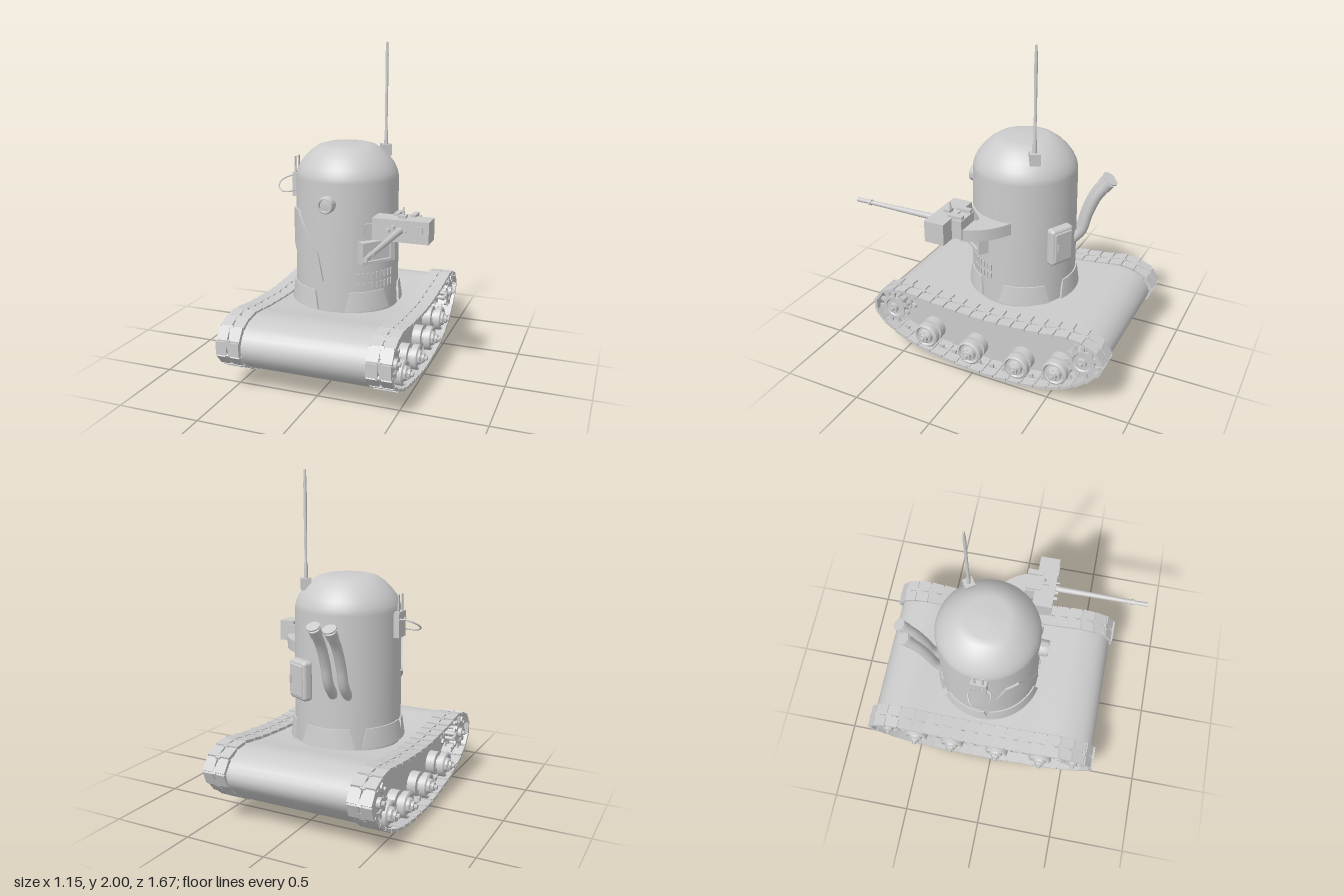
import * as THREE from 'three';
import { mergeGeometries, toCreasedNormals } from 'three/addons/utils/BufferGeometryUtils.js';
import { RoundedBoxGeometry } from 'three/addons/geometries/RoundedBoxGeometry.js';

const V = (x, y, z) => new THREE.Vector3(x, y, z);
const rad = THREE.MathUtils.degToRad, lerp = THREE.MathUtils.lerp;
const TOWER = V(-0.036, 0, -0.095), R = 0.315;

export function createModel() {
  const model = new THREE.Group();
  const mat = new THREE.MeshStandardMaterial({ color: 0xcccccc });
  const both = new THREE.MeshStandardMaterial({ color: 0xcccccc, side: THREE.DoubleSide });

  const add = (name, geo, x = 0, y = 0, z = 0, parent = model, m = mat) => {
    const mesh = new THREE.Mesh(geo, m);
    mesh.name = name;
    mesh.position.set(x, y, z);
    parent.add(mesh);
    return mesh;
  };
  const group = (name, x = 0, y = 0, z = 0, parent = model) => {
    const g = new THREE.Group();
    g.name = name;
    g.position.set(x, y, z);
    parent.add(g);
    return g;
  };
  const box = (w, h, d) => new THREE.BoxGeometry(w, h, d);
  const cyl = (r0, r1, h, n = 24) => new THREE.CylinderGeometry(r0, r1, h, n);
  const cylZ = (r0, r1, h, n = 24) => cyl(r0, r1, h, n).rotateX(Math.PI / 2);
  const cylX = (r0, r1, h, n = 24) => cyl(r0, r1, h, n).rotateZ(-Math.PI / 2);
  const lathe = (pts, n = 32) => toCreasedNormals(
    new THREE.LatheGeometry(pts.map(p => new THREE.Vector2(...p)), n), 0.6);

  // Side outline shared by hull and tracks, as [z, y], front over the top to the back
  const outline = [[0.69, 0.3], [0.64, 0.4], [0.5, 0.452], [0.25, 0.432], [-0.08, 0.415], [-0.42, 0.435],
    [-0.65, 0.455], [-0.78, 0.405], [-0.83, 0.31], [-0.77, 0.215], [-0.63, 0.11], [-0.45, 0.042],
    [-0.05, 0.01], [0.22, 0.04], [0.42, 0.08], [0.57, 0.145], [0.66, 0.22]];
  const path = new THREE.CatmullRomCurve3(outline.map(([z, y]) => V(0, y, z)), true, 'centripetal');

  // Hull
  const hullShape = new THREE.Shape(path.getSpacedPoints(90).slice(0, 90).map(p =>
    new THREE.Vector2((p.z + 0.07) * 0.978 - 0.07, (p.y - 0.23) * 0.96 + 0.226)));
  const hull = new THREE.ExtrudeGeometry(hullShape, { depth: 0.76, bevelEnabled: false });
  add('hull', toCreasedNormals(hull.rotateY(-Math.PI / 2).translate(0.36, 0, 0), 0.6));

  // Track belt: split plates with a pin and an inner guide tooth on each link
  const linkCount = 38;
  const trackLink = mergeGeometries([
    box(0.068, 0.018, 0.082).translate(-0.039, 0, 0),
    box(0.068, 0.018, 0.082).translate(0.039, 0, 0),
    box(0.03, 0.014, 0.045).translate(0, 0, 0.03),
    box(0.13, 0.014, 0.014).translate(0, 0.008, 0.042),
    box(0.016, 0.03, 0.03).translate(0, 0.018, 0),
  ]);
  const links = [];
  for (let i = 0; i < linkCount; i++) {
    const p = path.getPointAt(i / linkCount), t = path.getTangentAt(i / linkCount);
    links.push(trackLink.clone().translate(0, 0.009, 0)
      .rotateX(Math.atan2(-t.y, t.z) + 0.07).translate(0, p.y, p.z));
  }
  const belt = mergeGeometries(links);

  // Road wheel: two tyres, a dished face and a hub, axis pointing outward
  const wheelGeo = lathe([[0, -0.07], [0.075, -0.07], [0.075, -0.015], [0.05, -0.012], [0.05, 0.004], [0.078, 0.008],
    [0.078, 0.045], [0.066, 0.052], [0.058, 0.04], [0.046, 0.04], [0.042, 0.06], [0.028, 0.066],
    [0.026, 0.082], [0, 0.082]]).rotateZ(-Math.PI / 2);
  const addWheel = (side, z, y) => {
    const g = group('roadWheel', 0, y, z, side);
    add('wheelDisc', wheelGeo, 0, 0, 0, g);
    add('axleNut', cylX(0.014, 0.016, 0.024, 6), 0.088, 0, 0, g);
    for (let i = 0; i < 6; i++) {
      const a = i * Math.PI / 3;
      add('wheelBolt', cylX(0.005, 0.005, 0.012, 6), 0.064, Math.cos(a) * 0.034, Math.sin(a) * 0.034, g);
    }
  };

  // Sprocket: two toothed discs joined by rods
  const addSprocket = (side, z, y) => {
    const g = group('sprocket', 0, y, z, side);
    const rim = lathe([[0, -0.009], [0.076, -0.009], [0.076, 0.009], [0.058, 0.009], [0.052, 0.002], [0, 0.002]])
      .rotateZ(-Math.PI / 2);
    for (const x of [-0.04, 0.045]) {
      add('sprocketDisc', rim, x, 0, 0, g);
      for (let i = 0; i < 11; i++) {
        const tooth = box(0.014, 0.04, 0.022).translate(0, 0.085, 0).rotateX(i * 2 * Math.PI / 11);
        add('sprocketTooth', tooth, x, 0, 0, g);
      }
    }
    for (let i = 0; i < 8; i++) {
      const a = i * Math.PI / 4;
      add('sprocketRod', cylX(0.013, 0.013, 0.09, 8), 0, Math.cos(a) * 0.055, Math.sin(a) * 0.055, g);
    }
    add('sprocketAxle', cylX(0.03, 0.036, 0.14), 0, 0, 0, g);
    add('sprocketNut', cylX(0.013, 0.015, 0.02, 6), 0.078, 0, 0, g);
  };

  for (const s of [1, -1]) {
    const side = group(s > 0 ? 'leftTrack' : 'rightTrack', s > 0 ? 0.432 : -0.477, s > 0 ? 0.006 : -0.004, 0);
    add('trackBelt', belt, 0, 0, 0, side);
    const gear = group('runningGear', 0, 0, 0, side);
    gear.rotation.y = s > 0 ? 0 : Math.PI;
    for (const [z, y] of [[0.34, 0.148], [0.035, 0.118], [-0.28, 0.118], [-0.53, 0.162]]) addWheel(gear, z * s, y);
    for (const [z, y] of [[0.56, 0.3], [-0.7, 0.3]]) addSprocket(gear, z * s, y);
  }

  // Tower with a domed top
  const tower = group('tower', TOWER.x, 0, TOWER.z);
  const dome = [[0.322, 0.4], [0.32, 0.6], [R, 1.2], [0.308, 1.235], [0.29, 1.275], [0.26, 1.315], [0.22, 1.355],
    [0.175, 1.385], [0.13, 1.398], [0, 1.402]];
  add('towerShell', new THREE.LatheGeometry(dome.map(p => new THREE.Vector2(...p)), 56), 0, 0, 0, tower);

  // Mount on the tower wall; local +z points outward, angle runs from the front towards +x
  const mount = (name, deg, y, r = R) => {
    const a = rad(deg), g = group(name, Math.sin(a) * r, y, Math.cos(a) * r, tower);
    g.rotation.y = a;
    return g;
  };

  // Plate wrapped on the tower wall: place(u, v) gives [degrees, height, radius]
  const wrap = (name, thick, place) => {
    const geo = new THREE.BoxGeometry(1, 1, 1, 22, 1, 1), p = geo.attributes.position;
    for (let i = 0; i < p.count; i++) {
      const [deg, y, r] = place(p.getX(i) + 0.5, p.getY(i) + 0.5), rr = r + p.getZ(i) * thick;
      p.setXYZ(i, Math.sin(rad(deg)) * rr, y, Math.cos(rad(deg)) * rr);
    }
    add(name, toCreasedNormals(geo, 0.5), 0, 0, 0, tower);
  };

  // Skirt plates around the foot
  for (const [mid, half] of [[42, 20], [115, 22], [185, 24], [250, 24], [312, 32]])
    wrap('skirtPlate', 0.014, (u, v) => [mid + (u * 2 - 1) * (half + (1 - v) * 5), lerp(0.43, 0.545, v), lerp(0.338, 0.322, v)]);

  // Angled armour plate
  const along = (pts, x) => {
    const i = Math.max(1, pts.findIndex(p => p[0] >= x - 1e-6)), [a, b] = [pts[i - 1], pts[i]];
    return lerp(a[1], b[1], (x - a[0]) / (b[0] - a[0]));
  };
  const upper = [[-72, 0.825], [-60, 1.01], [-45, 1.01], [-12, 0.77], [-6, 0.61]];
  wrap('armourPlate', 0.016, (u, v) => {
    const deg = lerp(-72, -6, u);
    return [deg, lerp(lerp(0.82, 0.605, u), along(upper, deg), v), 0.322];
  });

  // Vent slots
  for (let i = 0; i < 9; i++) for (const y of [0.58, 0.64])
    add('ventSlot', box(0.016, 0.04, 0.008), 0, 0, 0.007, mount('vent', 32 + i * 5.5, y));

  // Round lens at the front
  const lens = mount('lens', -1, 1.08, 0.3);
  add('lensHousing', lathe([[0.05, 0], [0.05, 0.06], [0.045, 0.068], [0.036, 0.068], [0.034, 0.05], [0, 0.056]])
    .rotateX(Math.PI / 2), 0, 0, 0, lens);

  // Framed box on the front left
  const lamp = mount('framedBox', 52, 0.795, 0.325);
  add('boxBody', box(0.21, 0.12, 0.035), 0, 0, 0, lamp);
  for (const s of [1, -1]) {
    add('boxFrame', box(0.225, 0.016, 0.06), 0, s * 0.058, 0.004, lamp);
    add('boxFrame', box(0.03, 0.13, 0.06), s * 0.098, 0, 0.004, lamp);
  }

  // Rounded hatch box at the back
  const hatch = mount('rearBox', 153, 0.81, 0.335);
  add('rearBoxBody', new RoundedBoxGeometry(0.16, 0.235, 0.065, 3, 0.022), 0, 0, 0, hatch);
  add('rearBoxPanel', new RoundedBoxGeometry(0.125, 0.19, 0.02, 2, 0.008), 0, 0, 0.03, hatch);
  add('rearBoxLatch', box(0.01, 0.05, 0.012), -0.045, 0, 0.042, hatch);

  // Twin exhausts with tilted caps
  for (const [x, dz, dy] of [[-0.172, 0.02, -0.015], [-0.095, -0.02, 0]]) {
    const g = group('exhaust', x, dy, dz);
    const curve = new THREE.CatmullRomCurve3([V(0, 0.74, -0.37), V(0, 0.82, -0.43), V(0, 0.94, -0.465),
      V(0, 1.06, -0.515), V(0, 1.16, -0.585)]);
    add('exhaustPipe', new THREE.TubeGeometry(curve, 24, 0.03, 16), 0, 0, 0, g, both);
    add('exhaustCollar', cyl(0.034, 0.034, 0.05, 20), 0, 1.145, -0.573, g).rotation.x = -0.62;
    add('exhaustCap', cyl(0.039, 0.039, 0.008, 20), 0, 1.178, -0.597, g).rotation.x = -0.5;
  }

  // Bracket with prongs and a wire loop
  const bracket = group('sideBracket', -0.365, 1.125, -0.085);
  add('bracketBox', box(0.036, 0.15, 0.095), 0, 0, 0, bracket);
  for (const z of [-0.025, 0.025]) {
    add('bracketProng', box(0.008, 0.11, 0.014), -0.005, 0.12, z, bracket);
    add('bracketStud', cylX(0.008, 0.008, 0.012, 8), -0.022, 0.03, z, bracket);
  }
  const loop = new THREE.CatmullRomCurve3([V(0, 0.03, -0.04), V(-0.07, 0.035, -0.05), V(-0.12, 0.01, -0.02),
    V(-0.12, -0.02, 0.03), V(-0.07, -0.042, 0.075), V(-0.02, -0.04, 0.07), V(0, -0.035, 0.035)]);
  add('wireLoop', new THREE.TubeGeometry(loop, 40, 0.005, 8), 0, 0, 0, bracket);

  // Antenna
  add('antennaBase', box(0.06, 0.07, 0.06), 0.162, 1.345, -0.245).rotation.y = 0.6;
  add('antennaRod', lathe([[0.012, 0], [0.012, 0.08], [0.008, 0.1], [0.01, 0.55], [0.006, 0.625], [0, 0.63]], 12),
    0.162, 1.37, -0.245);

  // Gun arm, flaring from the tower wall
  const arm = new THREE.Shape();
  arm.moveTo(0.2, -0.17);
  arm.lineTo(0.27, -0.155);
  arm.quadraticCurveTo(0.43, -0.08, 0.475, 0.07);
  arm.lineTo(0.34, 0.07);
  arm.quadraticCurveTo(0.33, 0.03, 0.3, 0.04);
  arm.lineTo(0.16, 0.17);
  const armGeo = new THREE.ExtrudeGeometry(arm, { depth: 0.072, bevelEnabled: false, curveSegments: 16 });
  add('gunArm', toCreasedNormals(armGeo.rotateX(Math.PI / 2), 0.5), 0, 0.964, 0);

  // Gun housing, sight and barrel
  const gun = group('gun', 0.405, 0.965, 0.183);
  add('gunHousing', box(0.335, 0.13, 0.124), 0.002, 0, 0, gun);
  add('gunBreech', box(0.15, 0.115, 0.07), 0.002, 0, -0.09, gun);
  for (const s of [1, -1]) add('breechRail', box(0.03, 0.02, 0.09), s * 0.05, 0.068, -0.075, gun);
  add('sightBase', box(0.045, 0.02, 0.04), 0, 0.072, 0, gun);
  add('sightPost', cyl(0.004, 0.011, 0.05, 8), 0, 0.1, -0.01, gun);
  add('gunWindow', box(0.06, 0.045, 0.008), 0.105, 0.012, 0.063, gun);
  for (const [x, y, r] of [[-0.07, 0, 0.014], [-0.04, 0.022, 0.013], [0, 0.002, 0.022], [0.035, 0.002, 0.007]])
    add('gunStud', cylZ(r * 0.8, r, 0.024, 12), x, y, 0.072, gun);
  add('barrel', cylZ(0.013, 0.02, 0.5, 16), -0.003, 0, 0.31, gun);
  add('muzzle', cylZ(0.014, 0.012, 0.09, 16), -0.003, 0, 0.6, gun);
  add('muzzleRing', cylZ(0.018, 0.018, 0.016, 16), -0.003, 0, 0.55, gun);

  return model;
}
